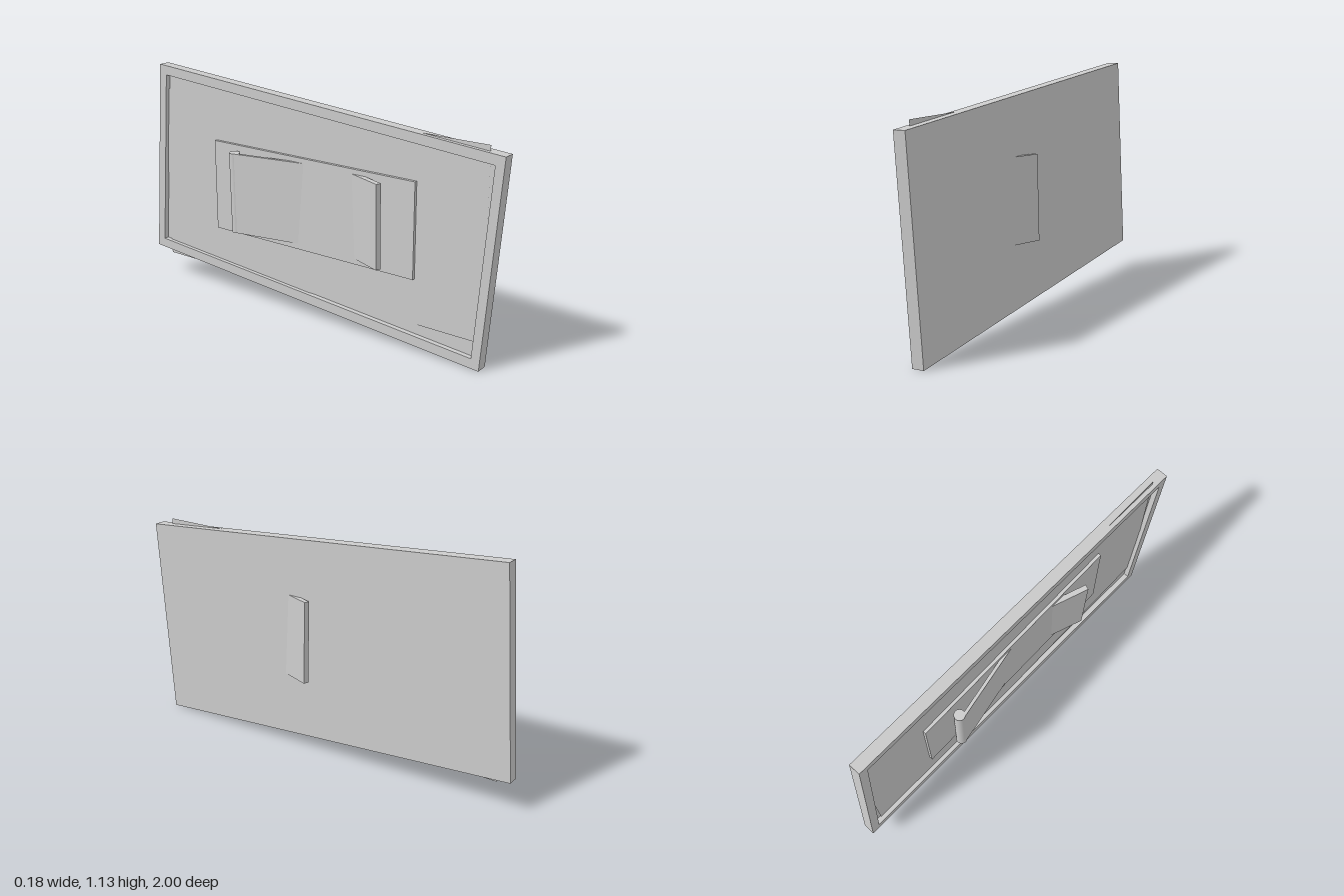
import * as THREE from 'three';

const GREY = new THREE.MeshStandardMaterial({ color: 0xcccccc });
const THIN = new THREE.MeshStandardMaterial({ color: 0xcccccc, side: THREE.DoubleSide });

function add(parent, name, geometry, x, y, z, material = GREY) {
  const mesh = new THREE.Mesh(geometry, material);
  mesh.name = name;
  mesh.position.set(x, y, z);
  parent.add(mesh);
  return mesh;
}

function addGroup(parent, name) {
  const group = new THREE.Group();
  group.name = name;
  parent.add(group);
  return group;
}

// rectangle centred on the origin, as a shape or a hole
function rectangle(Type, w, h) {
  return new Type([[-w, -h], [w, -h], [w, h], [-w, h]].map(([x, y]) => new THREE.Vector2(x / 2, y / 2)));
}

export function createModel() {
  const model = new THREE.Group();
  const W = 1.926, H = 0.973, T = 0.056; // board length, height, thickness
  const openW = 1.84, openH = 0.88, depth = 0.025; // recess on the -x side

  // everything leans slightly towards -x at the top
  const body = addGroup(model, 'body');
  body.position.y = 0.567;
  body.rotation.z = 0.011;

  // tilted board: solid slab with a raised rim around the recess
  const board = addGroup(body, 'board');
  board.rotation.x = 0.0806;
  add(board, 'slab', new THREE.BoxGeometry(T - depth, H, W), depth / 2, 0, 0);
  const outline = rectangle(THREE.Shape, W, H);
  outline.holes.push(rectangle(THREE.Path, openW, openH));
  const rim = new THREE.ExtrudeGeometry(outline, { depth, bevelEnabled: false });
  rim.rotateY(Math.PI / 2);
  add(board, 'rim', rim, -T / 2, 0, 0);

  // level sheet in the recess, its corners poking out of the tilted board
  const sheet = new THREE.PlaneGeometry(openW, openH);
  sheet.rotateY(-Math.PI / 2);
  add(body, 'sheet', sheet, -0.008, 0, 0, THIN);

  // raised mounting plate
  add(body, 'mountingPlate', new THREE.BoxGeometry(0.016, 0.45, 1.15), -0.015, 0, 0);

  // the two stand leaves lean a little more than the board
  const stand = addGroup(body, 'stand');
  stand.rotation.z = 0.016;

  // leaf with a rounded hinge along its outer edge
  add(stand, 'hinge', new THREE.CylinderGeometry(0.026, 0.026, 0.4, 32), -0.063, 0.002, -0.41);
  add(stand, 'hingeLeaf', new THREE.BoxGeometry(0.015, 0.4, 0.4), -0.045, 0.002, -0.213).rotation.y = 0.175;

  // leaf passing right through the board
  add(stand, 'crossLeaf', new THREE.BoxGeometry(0.025, 0.4, 0.4), -0.003, 0.002, 0.235).rotation.y = -0.347;

  return model;
}
